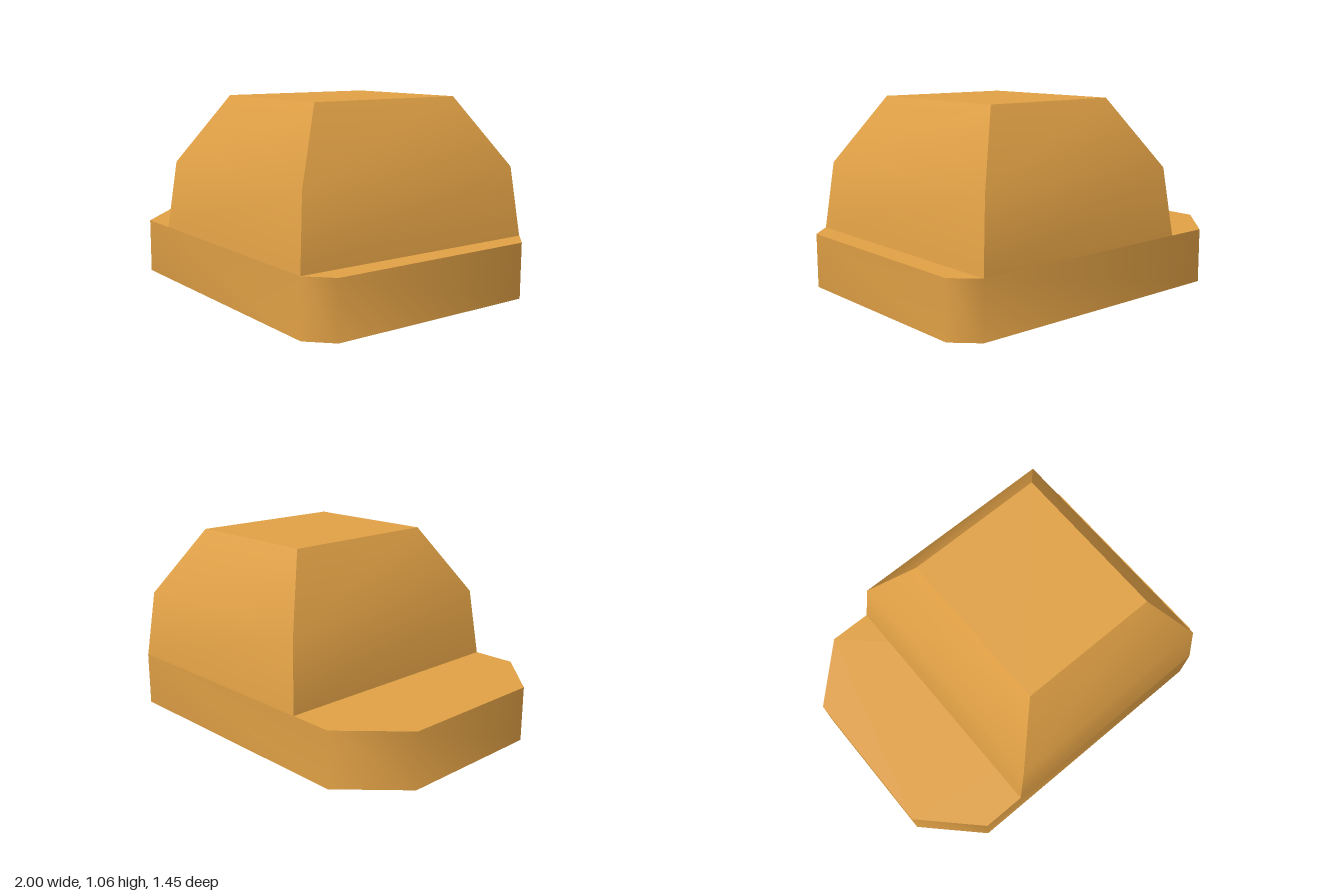
import * as THREE from 'three';
import { toCreasedNormals } from 'three/addons/utils/BufferGeometryUtils.js';

const CREASE = THREE.MathUtils.degToRad(50);
const BASE_HEIGHT = 0.305;

// Flat slab with chamfered corners, larger chamfers on the -x end
function baseGeometry() {
  const half = [[-1, 0.427], [-0.7, 0.727], [0.877, 0.727], [1, 0.605]];
  const outline = [...half, ...half.map(([x, z]) => [x, -z]).reverse()];
  const shape = new THREE.Shape(outline.map(([x, z]) => new THREE.Vector2(x, z)));
  const geometry = new THREE.ExtrudeGeometry(shape, { depth: BASE_HEIGHT, bevelEnabled: false });
  geometry.rotateX(-Math.PI / 2);
  return toCreasedNormals(geometry, CREASE);
}

// Tapered block lofted through rectangular sections: [y, half width, half depth]
function domeGeometry() {
  const centreX = 0.21;
  const sections = [
    [BASE_HEIGHT, 0.665, 0.727],
    [0.685, 0.622, 0.687],
    [1.062, 0.4, 0.46],
  ];
  const corners = [[-1, 1], [1, 1], [1, -1], [-1, -1]];
  const positions = [];
  const index = [];
  for (const [y, w, d] of sections) {
    for (const [sx, sz] of corners) positions.push(centreX + sx * w, y, sz * d);
  }
  for (let i = 0; i < sections.length - 1; i++) {
    for (let j = 0; j < 4; j++) {
      const a = i * 4 + j;
      const b = i * 4 + (j + 1) % 4;
      index.push(a, b, b + 4, a, b + 4, a + 4);
    }
  }
  const top = (sections.length - 1) * 4;
  index.push(top, top + 1, top + 2, top, top + 2, top + 3);
  const geometry = new THREE.BufferGeometry();
  geometry.setAttribute('position', new THREE.Float32BufferAttribute(positions, 3));
  geometry.setIndex(index);
  return toCreasedNormals(geometry, CREASE);
}

export function createModel() {
  const group = new THREE.Group();
  const ochre = new THREE.MeshStandardMaterial({ color: 0xe0a045 });
  ochre.name = 'ochre';

  const base = new THREE.Mesh(baseGeometry(), ochre);
  base.name = 'base';
  const dome = new THREE.Mesh(domeGeometry(), ochre);
  dome.name = 'taperedTop';

  group.add(base, dome);
  return group;
}
